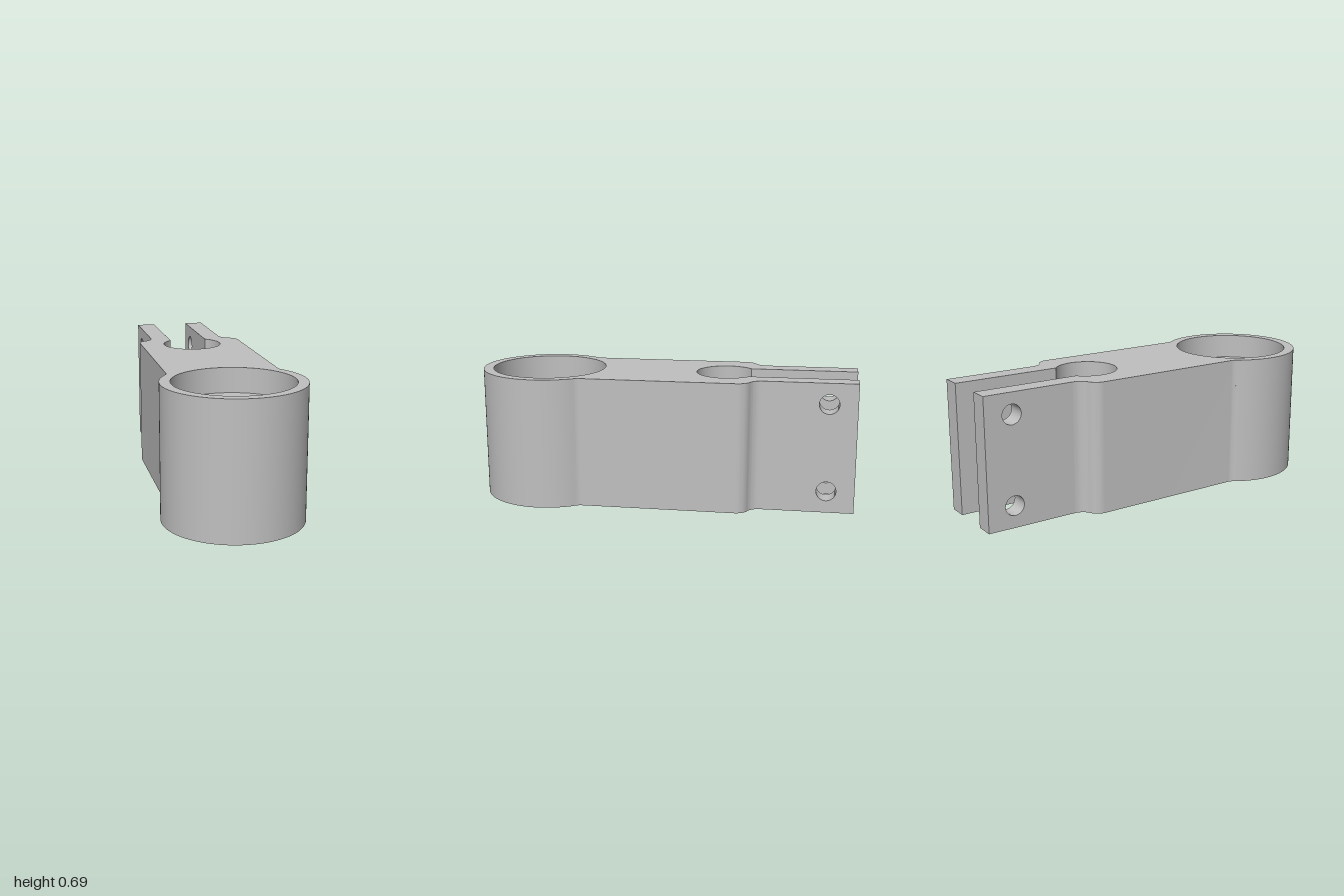
import * as THREE from 'three';
import { toCreasedNormals } from 'three/addons/utils/BufferGeometryUtils.js';

// Plan coordinates are (x, v) with v = -z.
const H = 0.685;
const HUB = [0, -0.645];
const FLOOR = H - 0.13;         // floor of the wide recess
const STEP = FLOOR - 0.13;      // floor of the counterbore
const HOLE = 0.051;

function arc(cx, cy, r, a0, a1, n) {
  return Array.from({ length: n + 1 }, (_, i) => {
    const a = a0 + (a1 - a0) * i / n;
    return new THREE.Vector2(cx + r * Math.cos(a), cy + r * Math.sin(a));
  });
}
const mirror = pts => pts.map(p => new THREE.Vector2(-p.x, p.y)).reverse();

// Adds round holes to a shape
function pierce(shape, holes) {
  for (const [x, y, r] of holes) shape.holes.push(new THREE.Path().absarc(x, y, r, 0, Math.PI * 2, true));
  return shape;
}

// Upright wall following a chain of plan points
function wallGeometry(pts) {
  const pos = [];
  for (let i = 0; i < pts.length - 1; i++) {
    const a = pts[i], b = pts[i + 1];
    if (a.distanceTo(b) < 1e-5) continue;
    pos.push(a.x, 0, -a.y, b.x, 0, -b.y, b.x, H, -b.y);
    pos.push(a.x, 0, -a.y, b.x, H, -b.y, a.x, H, -a.y);
  }
  const g = new THREE.BufferGeometry();
  g.setAttribute('position', new THREE.Float32BufferAttribute(pos, 3));
  return toCreasedNormals(g, 0.5);
}

export function createModel() {
  const model = new THREE.Group();
  model.name = 'clevisArm';
  const grey = new THREE.MeshStandardMaterial({ color: 0xc0c0c0, side: THREE.DoubleSide });
  grey.name = 'plain grey';

  function add(name, geometry) {
    const mesh = new THREE.Mesh(geometry, grey);
    mesh.name = name;
    model.add(mesh);
    return mesh;
  }
  // Horizontal flat face at height y
  function flat(name, shape, y) {
    add(name, new THREE.ShapeGeometry(shape, 32).rotateX(-Math.PI / 2).translate(0, y, 0));
  }
  // Vertical bore wall
  function bore(name, [x, v], r, y0, y1) {
    add(name, new THREE.CylinderGeometry(r, r, y1 - y0, 64, 1, true).translate(x, (y0 + y1) / 2, -v));
  }
  const disc = r => new THREE.Shape().absarc(...HUB, r, 0, Math.PI * 2, false);

  // Right half of the outside: round hub, fillet, flank, S-shaped shoulder
  const a = Math.atan2(0.229, 0.334), s = Math.acos(0.4), P = Math.PI;
  const outer = [
    ...arc(...HUB, 0.355, -P / 2, a, 48),
    ...arc(0.334, -0.416, 0.05, a + P, P, 8),
    ...arc(0.214, 0.39, 0.07, 0, s, 10),
    ...arc(0.27, 0.518, 0.07, P + s, P, 10),
  ];
  // Right half of the keyhole slot
  const slot = arc(0, 0.315, 0.158, Math.atan2(0.122, 0.1), -P / 2, 32);
  const tip = [new THREE.Vector2(0.2, 1), new THREE.Vector2(0.1, 1)];
  const half = [...outer, ...tip, ...slot];
  const outline = [...half.slice(0, -1), ...mirror(half).slice(0, -1)];

  add('outerWall', wallGeometry([...mirror(outer), ...outer]));
  add('slotWall', wallGeometry([...slot, ...mirror(slot)]));

  // Hub holes and recesses
  const corners = [[1, 1], [1, -1], [-1, 1], [-1, -1]].map(([i, j]) => [i * 0.142, HUB[1] + j * 0.142]);
  const cornerHoles = corners.map(c => [...c, HOLE]);
  flat('topFace', pierce(new THREE.Shape(outline), [[...HUB, 0.302]]), H);
  flat('bottomFace', pierce(new THREE.Shape(outline), [...cornerHoles, [...HUB, HOLE]]), 0);
  flat('recessFloor', pierce(disc(0.302), [...cornerHoles, [...HUB, 0.13]]), FLOOR);
  flat('counterboreFloor', pierce(disc(0.13), [[...HUB, HOLE]]), STEP);
  bore('recessWall', HUB, 0.302, FLOOR, H);
  bore('counterboreWall', HUB, 0.13, STEP, FLOOR);
  bore('centreHole', HUB, HOLE, 0, STEP);
  corners.forEach(c => bore('screwHole', c, HOLE, 0, FLOOR));

  // Fork prongs with cross holes
  const pins = [[0.855, 0.115, HOLE], [0.855, 0.575, HOLE]];
  for (const side of [1, -1]) {
    for (const [name, x, v0] of [['prongOuterFace', 0.2, 0.518], ['prongInnerFace', 0.1, 0.437]]) {
      const face = new THREE.Shape([[v0, 0], [1, 0], [1, H], [v0, H]].map(p => new THREE.Vector2(...p)));
      add(name, new THREE.ShapeGeometry(pierce(face, pins), 32).rotateY(P / 2).translate(side * x, 0, 0));
    }
    add('prongEnd', new THREE.PlaneGeometry(0.1, H).rotateY(P).translate(side * 0.15, H / 2, -1));
    for (const [v, y, r] of pins) {
      add('pinHole', new THREE.CylinderGeometry(r, r, 0.1, 64, 1, true).rotateZ(P / 2).translate(side * 0.15, y, -v));
    }
  }
  return model;
}
